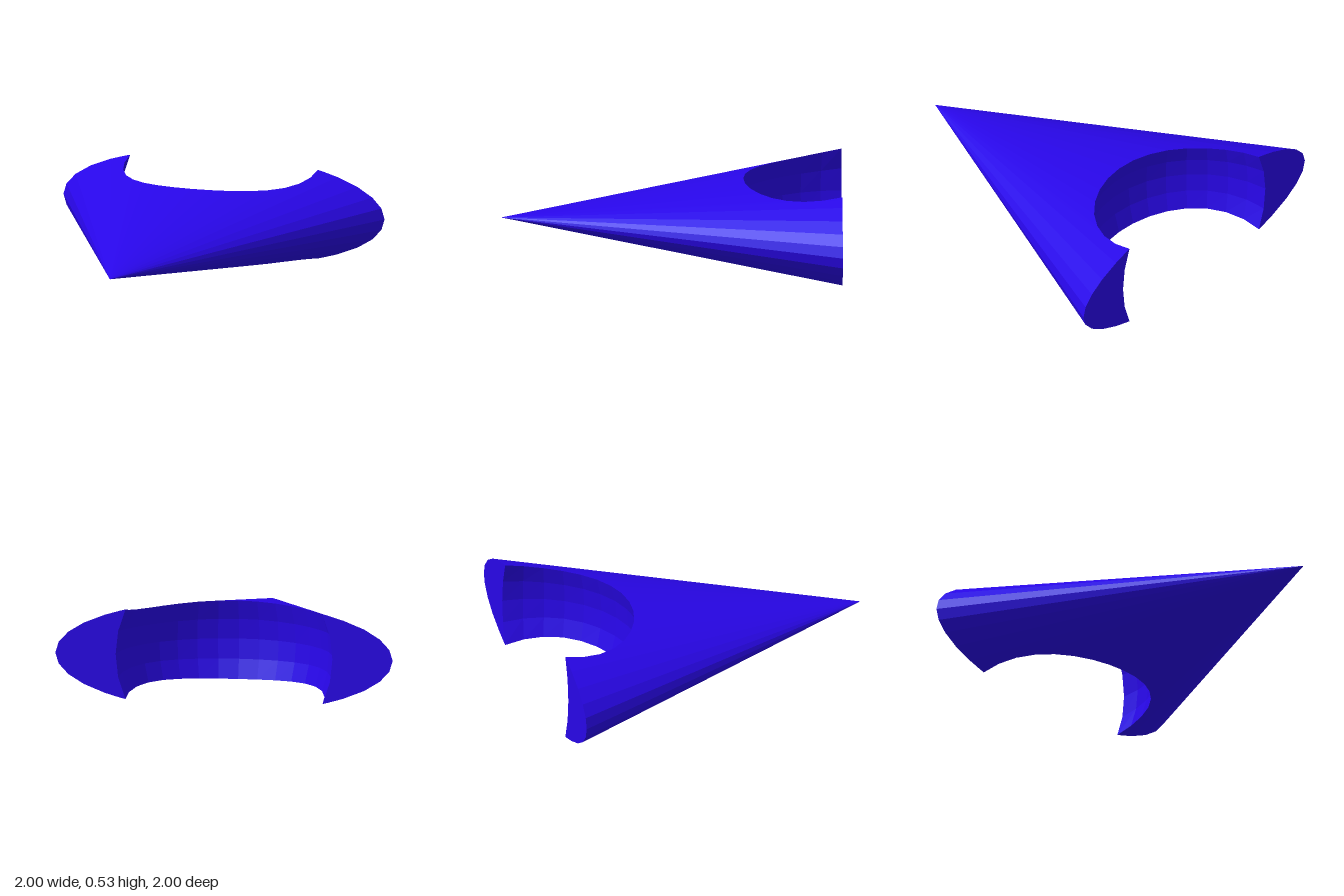
import * as THREE from 'three';

const B = 0.329;          // half height of the elliptical base (half width is 1)
const MID = 0.265;        // height of the cone axis
const R = 0.643;          // radius of the spherical hollow
const BACK = 0.02;        // hollow centre lies this far behind the base plane
const SEG = 16, ROWS = 4; // facets of the hollow

// Point on the hollow: i runs from the right end to the left end, lat is the latitude
function hollowPoint(i, lat) {
  const r = R * Math.cos(lat);
  const start = Math.asin(BACK / r);
  const phi = start + (Math.PI - 2 * start) * i / SEG;
  return new THREE.Vector3(r * Math.cos(phi), R * Math.sin(lat), -1 - BACK + r * Math.sin(phi));
}

// Latitude where the hollow breaks through the cone surface
function rimLatitude(i) {
  let lo = 0, hi = 1;
  for (let n = 0; n < 40; n++) {
    const m = (lo + hi) / 2, p = hollowPoint(i, m);
    if (Math.hypot(p.x, p.y / B) < (1 - p.z) / 2) lo = m; else hi = m;
  }
  return lo;
}

// Triangles from one corner to each step of a path
function fan(corner, path) {
  return path.slice(1).flatMap((p, i) => [corner, path[i], p]);
}

// Mirrored triangles, with the corner order turned so they still face outwards
function mirror(points, sx, sy) {
  const out = points.map(p => new THREE.Vector3(p.x * sx, p.y * sy, p.z));
  return sx * sy < 0 ? out.reverse() : out;
}

function facetGeometry(points) {
  const g = new THREE.BufferGeometry().setFromPoints(points);
  g.computeVertexNormals();
  return g;
}

export function createModel() {
  const group = new THREE.Group();
  const material = new THREE.MeshStandardMaterial({ color: 0x2806e8, flatShading: true });
  const add = (name, geometry) => {
    const mesh = new THREE.Mesh(geometry, material);
    mesh.name = name;
    mesh.position.y = MID;
    group.add(mesh);
  };

  const rims = Array.from({ length: SEG + 1 }, (_, i) => rimLatitude(i));
  const rim = rims.slice(0, SEG / 2 + 1).map((lat, i) => hollowPoint(i, lat));

  // Rim point that lies widest as seen from the tip; its line carried on to the base
  const tip = new THREE.Vector3(0, 0, 1);
  const spread = rim.map(p => p.x / (1 - p.z));
  const widest = spread.indexOf(Math.max(...spread));
  const basePoint = tip.clone().lerp(rim[widest], 2 / (1 - rim[widest].z));

  // Outer edge of the base, from the side up to the hollow (32-sided ellipse)
  const outer = [];
  for (let k = 0; k <= 4; k++) {
    const a = k * Math.PI / 16;
    outer.push(new THREE.Vector3(Math.cos(a), B * Math.sin(a), -1));
  }
  outer.push(basePoint);

  // Cone skin: one quarter, mirrored; the second fan fills the horn beside the hollow
  const quarter = [
    ...fan(tip, outer),
    ...fan(tip, rim.slice(widest)),
    ...fan(basePoint, rim.slice(0, widest + 1)),
  ];
  const skin = [[1, 1], [-1, 1], [1, -1], [-1, -1]].flatMap(([sx, sy]) => mirror(quarter, sx, sy));
  add('coneBody', facetGeometry(skin));

  // Concave wall of the hollow
  const wallPoint = (i, k) => hollowPoint(i, rims[i] * (2 * k / ROWS - 1));
  const wall = [];
  for (let i = 0; i < SEG; i++) {
    for (let k = 0; k < ROWS; k++) {
      const a = wallPoint(i, k), b = wallPoint(i + 1, k);
      const c = wallPoint(i + 1, k + 1), d = wallPoint(i, k + 1);
      wall.push(a, b, c, a, c, d);
    }
  }
  add('hollowWall', facetGeometry(wall));

  // Flat crescents closing the back on both sides
  const lower = outer.slice(1).reverse().map(p => new THREE.Vector3(p.x, -p.y, p.z));
  const inner = Array.from({ length: ROWS + 1 }, (_, k) => wallPoint(0, ROWS - k));
  const outline = [...lower, ...outer, ...inner];
  for (const [name, side] of [['leftBackFace', 1], ['rightBackFace', -1]]) {
    const shape = new THREE.Shape(outline.map(p => new THREE.Vector2(-side * p.x, p.y)));
    add(name, new THREE.ShapeGeometry(shape).rotateY(Math.PI).translate(0, 0, -1));
  }
  return group;
}
